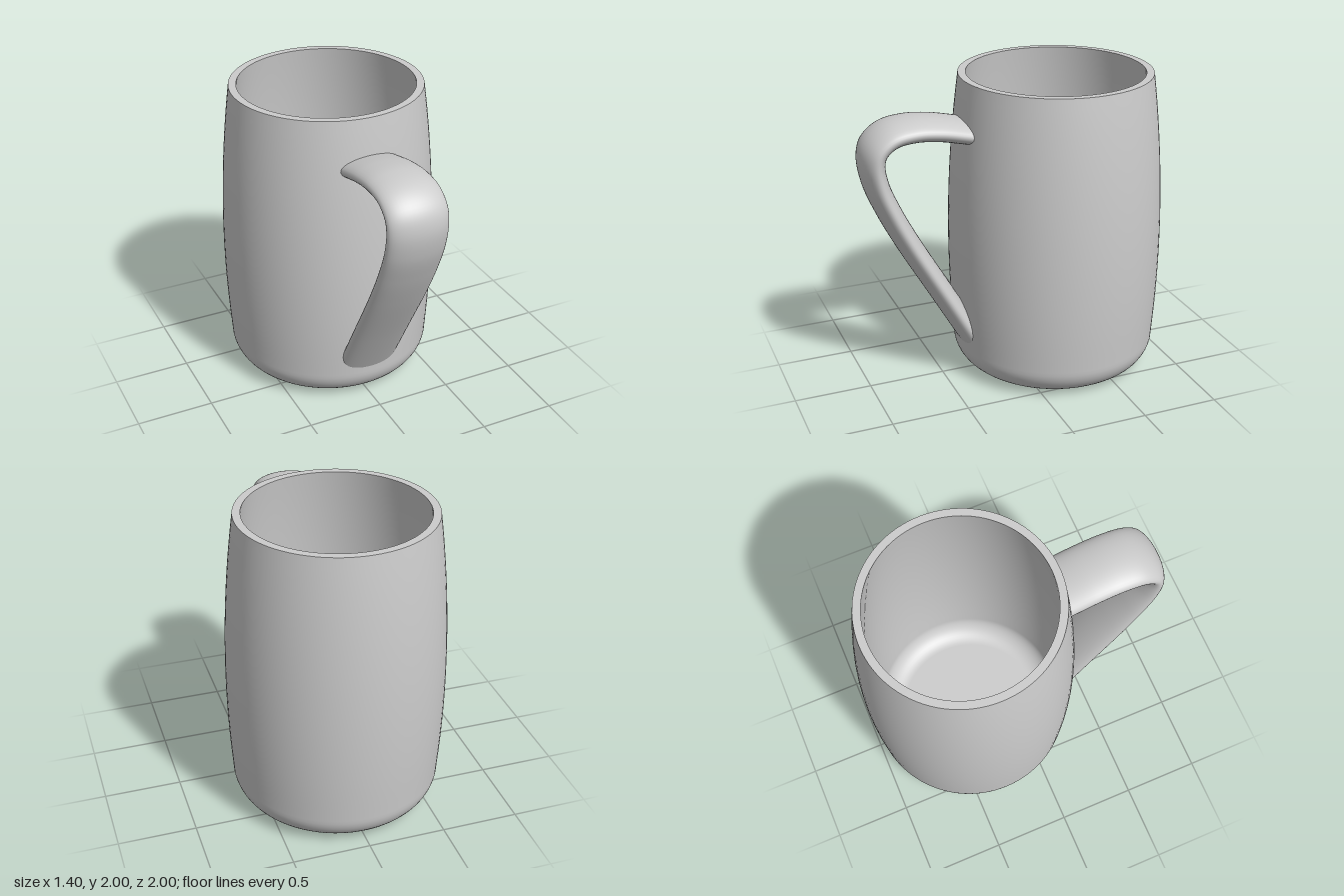
import * as THREE from 'three';
import { mergeVertices } from 'three/addons/utils/BufferGeometryUtils.js';

const BODY_Z = -0.3, HEIGHT = 2, WALL = 0.05;
const FILLET = 0.2, FLAT = 0.475;

// Outer radius of the gently bulging wall at a given height
const wallRadius = (y) => 0.7 - (y - 0.85) ** 2 / 16.5;

// Profile from the centre of the base, round the fillet, up to the rim
function cupProfile(inset) {
  const pts = [new THREE.Vector2(0, inset)];
  const r = FILLET - inset;
  for (let i = 0; i <= 12; i++) {
    const a = (i / 12) * Math.PI / 2;
    pts.push(new THREE.Vector2(FLAT + r * Math.sin(a), FILLET - r * Math.cos(a)));
  }
  for (let i = 1; i <= 24; i++) {
    const y = FILLET + (HEIGHT - FILLET) * i / 24;
    pts.push(new THREE.Vector2(wallRadius(y) - inset, y));
  }
  return pts;
}

// Oval strap swept along a curve, its ends buried in the cup wall
function handleGeometry() {
  const path = new THREE.CatmullRomCurve3([
    [1.665, 0.25], [1.69, 0.35], [1.727, 0.52], [1.74, 0.68], [1.715, 0.82], [1.645, 0.905],
    [1.56, 0.928], [1.41, 0.905], [1.22, 0.83], [1.0, 0.72], [0.6, 0.495], [0.2, 0.27],
  ].map(([y, z]) => new THREE.Vector3(0, y, z)), false, 'centripetal');
  const tube = new THREE.TubeGeometry(path, 140, 0.075, 40, false);
  tube.scale(0.2 / 0.075, 1, 1);
  const p = tube.attributes.position;
  for (let i = 0; i < p.count; i++) {
    const x = p.getX(i), r = wallRadius(p.getY(i)) - WALL / 2;
    p.setZ(i, Math.max(p.getZ(i), BODY_Z + Math.sqrt(r * r - x * x)));
  }
  // Weld the seam so the shading stays smooth
  tube.deleteAttribute('uv');
  tube.deleteAttribute('normal');
  const geo = mergeVertices(tube, 1e-5);
  geo.computeVertexNormals();
  return geo;
}

export function createModel() {
  const group = new THREE.Group();
  group.name = 'mug';
  const material = new THREE.MeshStandardMaterial({ color: 0xcccccc });
  const add = (name, geometry, z = 0) => {
    const mesh = new THREE.Mesh(geometry, material);
    mesh.name = name;
    mesh.position.z = z;
    group.add(mesh);
  };

  // Cup: separate shells keep the rim edges crisp
  const outer = cupProfile(0), inner = cupProfile(WALL).reverse();
  const lathe = (pts) => new THREE.LatheGeometry(pts, 96);
  add('outerWall', lathe(outer), BODY_Z);
  add('rim', lathe([outer[outer.length - 1], inner[0]]), BODY_Z);
  add('innerWall', lathe(inner), BODY_Z);

  add('handle', handleGeometry());
  return group;
}
